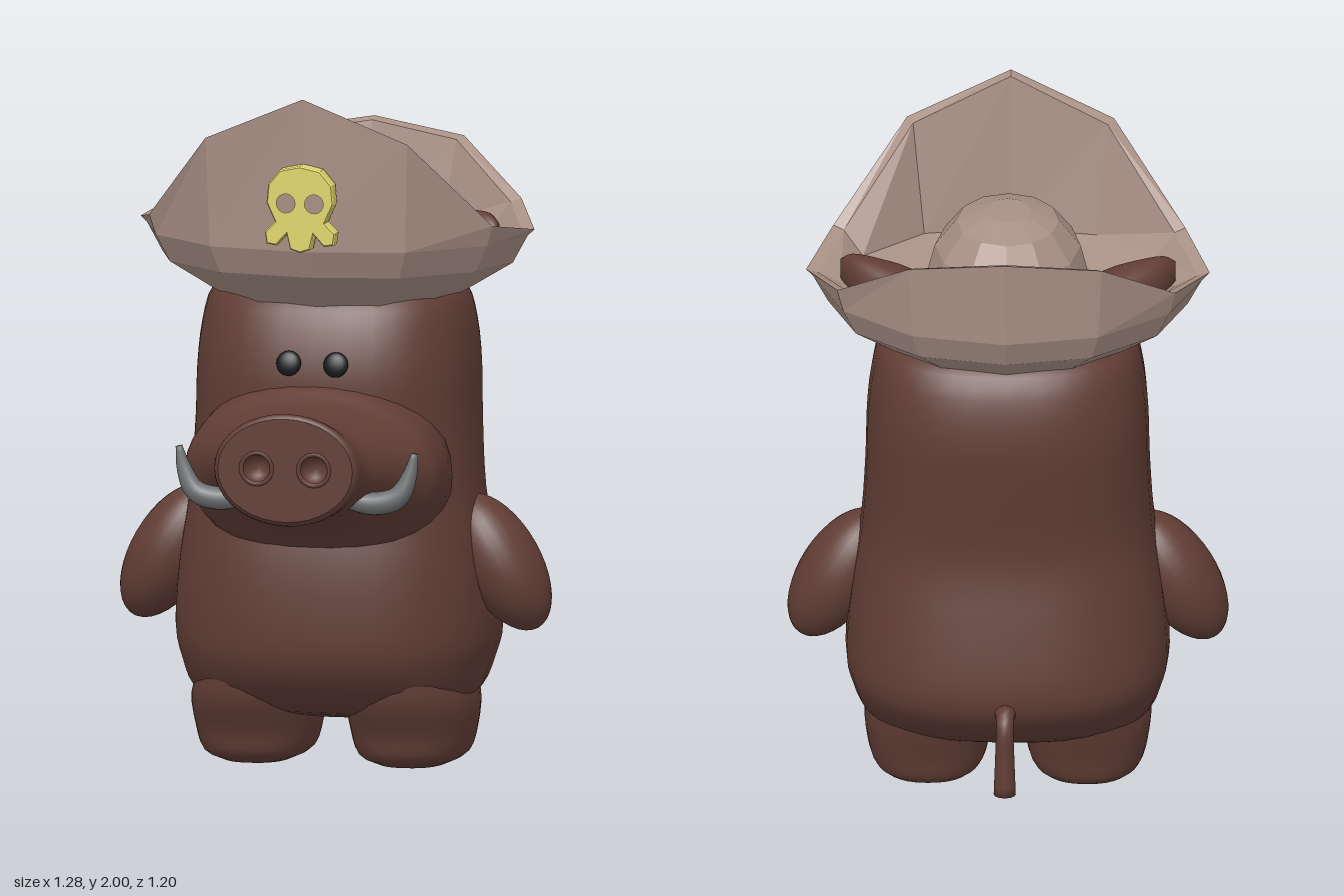
import * as THREE from 'three';

const SKIN = 0x613d35, HAT = 0xa89085, BLACK = 0x16181a, TUSK = 0x6c6f70, GOLD = 0xded66c;

function add(parent, name, geometry, color, flatShading = false) {
  const mesh = new THREE.Mesh(geometry, new THREE.MeshStandardMaterial({ color, flatShading }));
  mesh.name = name;
  parent.add(mesh);
  return mesh;
}

// Skin closed rings of points, listed counterclockwise about the direction of travel.
function loft(rings, capStart = true, capEnd = true) {
  const n = rings[0].length, pts = rings.flat(), index = [];
  for (let i = 0; i < rings.length - 1; i++) {
    for (let j = 0; j < n; j++) {
      const a = i * n + j, b = i * n + (j + 1) % n;
      index.push(a, b, b + n, a, b + n, a + n);
    }
  }
  const cap = (start, flip) => {
    const mid = new THREE.Vector3();
    for (let j = 0; j < n; j++) mid.addScaledVector(pts[start + j], 1 / n);
    const c = pts.push(mid) - 1;
    for (let j = 0; j < n; j++) {
      const a = start + j, b = start + (j + 1) % n;
      index.push(c, flip ? b : a, flip ? a : b);
    }
  };
  const last = (rings.length - 1) * n;
  if (capStart) cap(0, true);
  if (capEnd) cap(last, false);
  const g = new THREE.BufferGeometry().setFromPoints(pts);
  g.setIndex(index);
  g.computeVertexNormals();
  return g;
}

// Points of a loop, one per angle.
const loop = (n, fn) => Array.from({ length: n }, (_, j) => fn(j / n * Math.PI * 2));

// Fill in smooth rows between the key rows of a profile.
function smooth(rows, steps = 3) {
  const size = rows[0].length;
  const spline = new THREE.CubicInterpolant(rows.map((_, i) => i), rows.flat(), size);
  const out = [];
  for (let i = 0; i <= (rows.length - 1) * steps; i++) out.push(Array.from(spline.evaluate(i / steps)));
  return out;
}

// Upright form from rows of [y, half width, front z, back z]; p sets how square it is.
function upright(rows, cx, p) {
  const soft = v => Math.sign(v) * Math.abs(v) ** (2 / p);
  return loft(smooth(rows).map(([y, w, f, b]) => loop(36, a => new THREE.Vector3(
    cx + w * soft(Math.sin(a)), y, (f + b) / 2 + (f - b) / 2 * soft(Math.cos(a))))));
}

// Tapered tube along a curve; flat widens or thins one direction.
function taper(points, radii, flat = 1, n = 12, steps = 16) {
  const curve = new THREE.CatmullRomCurve3(points.map(p => new THREE.Vector3(...p)));
  const { normals, binormals } = curve.computeFrenetFrames(steps);
  const r = smooth(radii.map(v => [v]), steps / (radii.length - 1));
  return loft(normals.map((nrm, i) => loop(n, a => curve.getPoint(i / steps)
    .addScaledVector(nrm, Math.cos(a) * r[i][0])
    .addScaledVector(binormals[i], Math.sin(a) * r[i][0] * flat))));
}

function addSnout(parent) {
  const snout = new THREE.Group();
  snout.name = 'snout';
  parent.add(snout);
  // rows of [z, half width, top y, bottom y]
  const rows = [[0.1, 0.385, 1.18, 0.56], [0.24, 0.378, 1.14, 0.64], [0.3, 0.35, 1.105, 0.7],
    [0.4, 0.28, 1.09, 0.765], [0.5, 0.22, 1.09, 0.78], [0.58, 0.215, 1.11, 0.78], [0.6, 0.2, 1.098, 0.795]];
  add(snout, 'muzzle', loft(smooth(rows).map(([z, w, t, b]) => loop(36, a =>
    new THREE.Vector3(w * Math.cos(a), (t + b) / 2 + (t - b) / 2 * Math.sin(a), z))), true, false), SKIN);

  // flat nose disc pierced by the nostrils
  const disc = new THREE.Shape().absellipse(0, 0.9465, 0.2, 0.1515, 0, Math.PI * 2);
  for (const s of [-1, 1]) {
    disc.holes.push(new THREE.Path().absarc(s * 0.085, 0.95, 0.045, 0, Math.PI * 2, true));
    const cup = [[0.6, 0.045], [0.58, 0.042], [0.555, 0.028]].map(([z, r]) => loop(20, a =>
      new THREE.Vector3(s * 0.085 + r * Math.cos(a), 0.95 + r * Math.sin(a), z)));
    add(snout, 'nostril', loft(cup, false, true), SKIN);
    add(snout, 'nostrilRim', new THREE.TorusGeometry(0.046, 0.007, 8, 20), SKIN)
      .position.set(s * 0.085, 0.95, 0.597);
  }
  add(snout, 'noseDisc', new THREE.ShapeGeometry(disc, 18), SKIN).position.z = 0.6;
}

function addHat(parent) {
  const hat = new THREE.Group();
  hat.name = 'hat';
  parent.add(hat);
  // rim from front to back, [x, y, z], mirrored to the other side
  const half = [[0, 2, 0.37], [0.3, 1.87, 0.32], [0.51, 1.61, 0.13], [0.585, 1.57, -0.09],
    [0.49, 1.62, -0.34], [0.28, 1.77, -0.515], [0, 1.81, -0.575]];
  const rim = [...half, ...half.slice(1, 6).reverse().map(([x, y, z]) => [-x, y, z])];
  const ring = (scale, height) => rim.map(([x, y, z]) =>
    new THREE.Vector3(x * scale, height ?? y - (1 - scale) * 0.15, -0.1 + (z + 0.1) * scale));
  // outside of the bowl, over the rim and down the inside
  const brim = loft([ring(0.55, 1.35), ring(0.89, 1.47), ring(0.965, 1.55), ring(1),
    ring(0.94), ring(0.83, 1.53), ring(0.45, 1.47)], false, true);
  add(hat, 'brim', brim.toNonIndexed(), HAT, true);

  // rounded crown, rows of [y, scale]
  const crown = [[1.44, 1], [1.55, 1], [1.66, 0.88], [1.74, 0.62], [1.77, 0.28]].map(([y, k]) =>
    loop(12, a => new THREE.Vector3(0.24 * k * Math.sin(a), y, -0.105 + 0.295 * k * Math.cos(a))));
  add(hat, 'crown', loft(crown).toNonIndexed(), HAT, true);

  // skull badge with open eye sockets
  const side = [[0, 1.81], [0.06, 1.797], [0.095, 1.755], [0.1, 1.7], [0.075, 1.645], [0.105, 1.615],
    [0.1, 1.58], [0.07, 1.575], [0.04, 1.61], [0.03, 1.565], [0, 1.555]];
  const outline = [...side, ...side.slice(1, -1).reverse().map(([x, y]) => [-x, y])];
  const skull = new THREE.Shape(outline.map(p => new THREE.Vector2(...p)));
  for (const s of [-1, 1]) {
    skull.holes.push(new THREE.Path().absarc(s * 0.042, 1.7, 0.032, 0, Math.PI * 2, true));
  }
  add(hat, 'badge', new THREE.ExtrudeGeometry(skull, {
    depth: 0.04, curveSegments: 8, bevelThickness: 0.006, bevelSize: 0.004, bevelOffset: -0.004, bevelSegments: 1,
  }), GOLD, true).position.z = 0.36;
}

export function createModel() {
  const boar = new THREE.Group();
  boar.name = 'boar';

  add(boar, 'body', upright([[0.13, 0.14, -0.02, -0.2], [0.165, 0.35, 0.13, -0.31], [0.22, 0.42, 0.21, -0.4],
    [0.3, 0.45, 0.27, -0.49], [0.4, 0.47, 0.292, -0.525], [0.6, 0.455, 0.285, -0.49], [0.8, 0.425, 0.25, -0.45],
    [1, 0.412, 0.24, -0.468], [1.15, 0.408, 0.243, -0.482], [1.28, 0.395, 0.215, -0.465],
    [1.38, 0.365, 0.165, -0.42], [1.43, 0.28, 0.08, -0.33], [1.45, 0.12, -0.05, -0.2]], 0, 2.5), SKIN);
  addSnout(boar);

  for (const s of [-1, 1]) {
    add(boar, 'leg', upright([[0, 0.1, 0.06, -0.23], [0.03, 0.155, 0.12, -0.29], [0.1, 0.178, 0.14, -0.31],
      [0.2, 0.185, 0.19, -0.34], [0.3, 0.15, 0.2, -0.36]], s * 0.23, 2.4), SKIN);

    const arm = add(boar, 'arm', new THREE.SphereGeometry(1, 28, 20), SKIN);
    arm.scale.set(0.115, 0.22, 0.125);
    arm.position.set(s * 0.49, 0.595, -0.07);
    arm.rotation.z = s * 0.53;

    const eye = add(boar, 'eye', new THREE.SphereGeometry(1, 20, 12), BLACK);
    eye.scale.set(0.037, 0.037, 0.016);
    eye.position.set(s * 0.07, 1.205, 0.243);
    eye.rotation.x = -0.25;

    add(boar, 'tusk', taper([[s * 0.16, 0.845, 0.45], [s * 0.23, 0.835, 0.45], [s * 0.3, 0.855, 0.45],
      [s * 0.335, 0.92, 0.445], [s * 0.35, 0.985, 0.445]], [0.03, 0.034, 0.032, 0.022, 0.01]), TUSK);

    // ear, rows of [x, y, z, y radius, z radius]
    const ear = smooth([[0.18, 1.42, -0.19, 0.11, 0.16], [0.28, 1.47, -0.16, 0.125, 0.13],
      [0.38, 1.52, -0.12, 0.095, 0.085], [0.45, 1.55, -0.085, 0.065, 0.05], [0.485, 1.56, -0.06, 0.03, 0.02]]);
    add(boar, 'ear', loft(ear.map(([x, y, z, ry, rz]) => loop(20, a =>
      new THREE.Vector3(s * x, y + ry * Math.cos(a), z + s * rz * Math.sin(a))))), SKIN);
    const inner = add(boar, 'innerEar', new THREE.SphereGeometry(1, 20, 10), BLACK);
    inner.scale.set(0.095, 0.06, 0.012);
    inner.position.set(s * 0.35, 1.51, -0.034);
    inner.rotation.z = s * 0.45;
  }

  add(boar, 'tail', taper([[0, 0.3, -0.44], [0, 0.355, -0.52], [0, 0.335, -0.56], [0, 0.23, -0.565],
    [0, 0.12, -0.568]], [0.04, 0.03, 0.025, 0.028, 0.032]), SKIN);
  addHat(boar);
  return boar;
}
